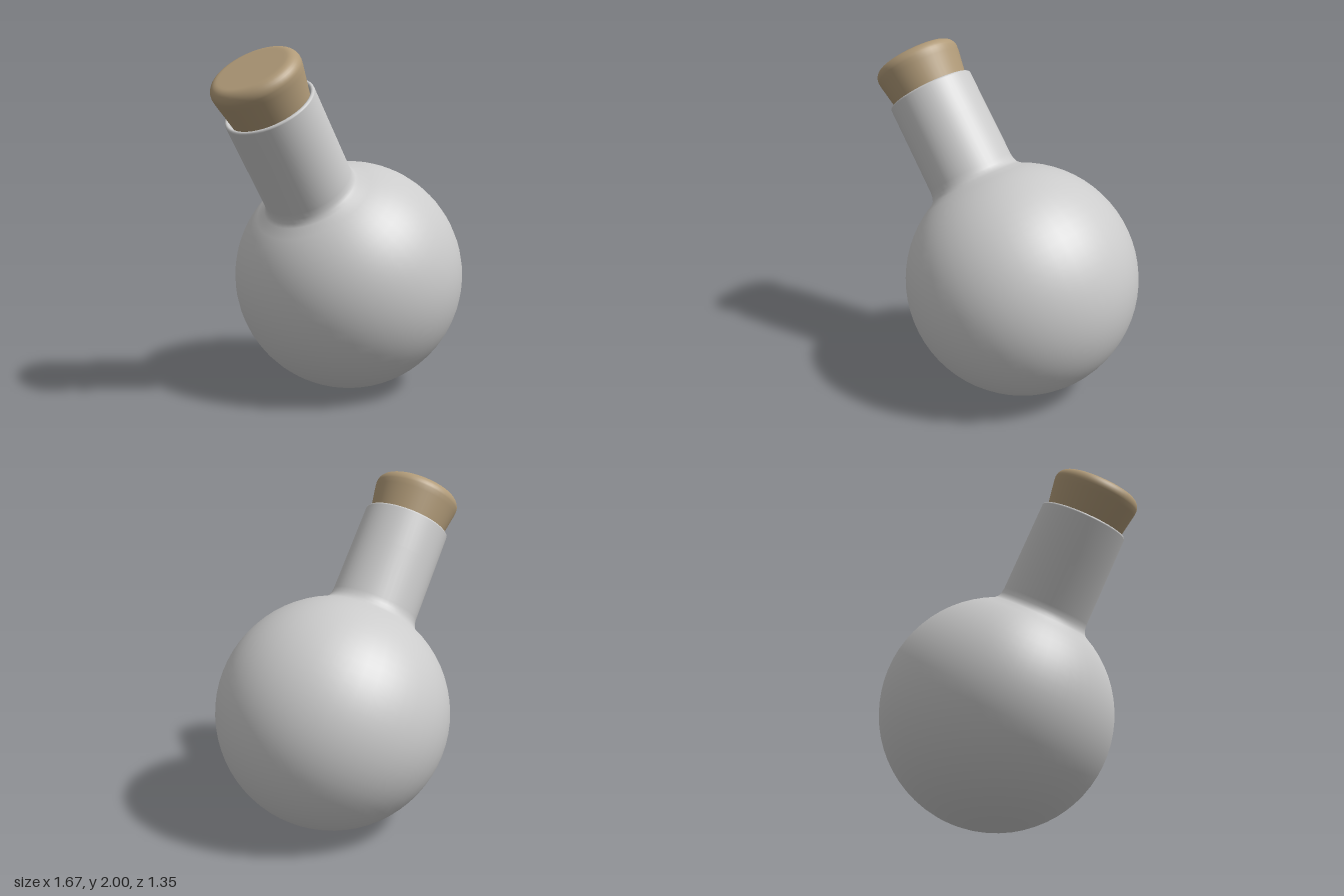
import * as THREE from 'three';

const SEGMENTS = 48;
const R = 0.675; // bulb radius

// Lathe from [radius, height] pairs, listed from the bottom outwards and up
function lathe(name, pairs, material) {
  const points = pairs.map(([r, y]) => new THREE.Vector2(r, y));
  const mesh = new THREE.Mesh(new THREE.LatheGeometry(points, SEGMENTS), material);
  mesh.name = name;
  return mesh;
}

// Points on a circular arc centred at (cx, cy), angles measured from the radial direction
function arc(cx, cy, radius, from, to, steps) {
  return Array.from({ length: steps + 1 }, (_, i) => {
    const a = from + ((to - from) * i) / steps;
    return [Math.max(0, cx + radius * Math.cos(a)), cy + radius * Math.sin(a)];
  });
}

export function createModel() {
  const glass = new THREE.MeshStandardMaterial({ color: 0xcccccc, side: THREE.DoubleSide });
  const corkMaterial = new THREE.MeshStandardMaterial({ color: 0xb09a78 });

  const model = new THREE.Group();
  model.name = 'corkedFlask';

  // Everything turns about one tilted axis through the bulb's centre
  const flask = new THREE.Group();
  flask.name = 'tiltedFlask';
  flask.position.set(0.155, R, 0);
  flask.rotation.z = THREE.MathUtils.degToRad(33.7);
  model.add(flask);

  // Round bulb, small fillet, straight neck, rounded lip and inner wall
  flask.add(lathe('bulbAndNeck', [
    ...arc(0, 0, R, -Math.PI / 2, 1.13, 28),
    [0.272, 0.628], [0.264, 0.65], [0.26, 0.68], [0.258, 1.0],
    ...arc(0.245, 1.212, 0.012, 0, Math.PI, 6),
    [0.233, 1.05],
  ], glass));

  // Tapered stopper with a rounded top edge
  flask.add(lathe('cork', [
    [0, 1.04], [0.2, 1.04], [0.2, 1.04], [0.226, 1.21], [0.252, 1.36],
    ...arc(0.195, 1.39, 0.06, 0, Math.PI / 2, 8),
    [0.18, 1.45], [0, 1.45],
  ], corkMaterial));

  return model;
}
